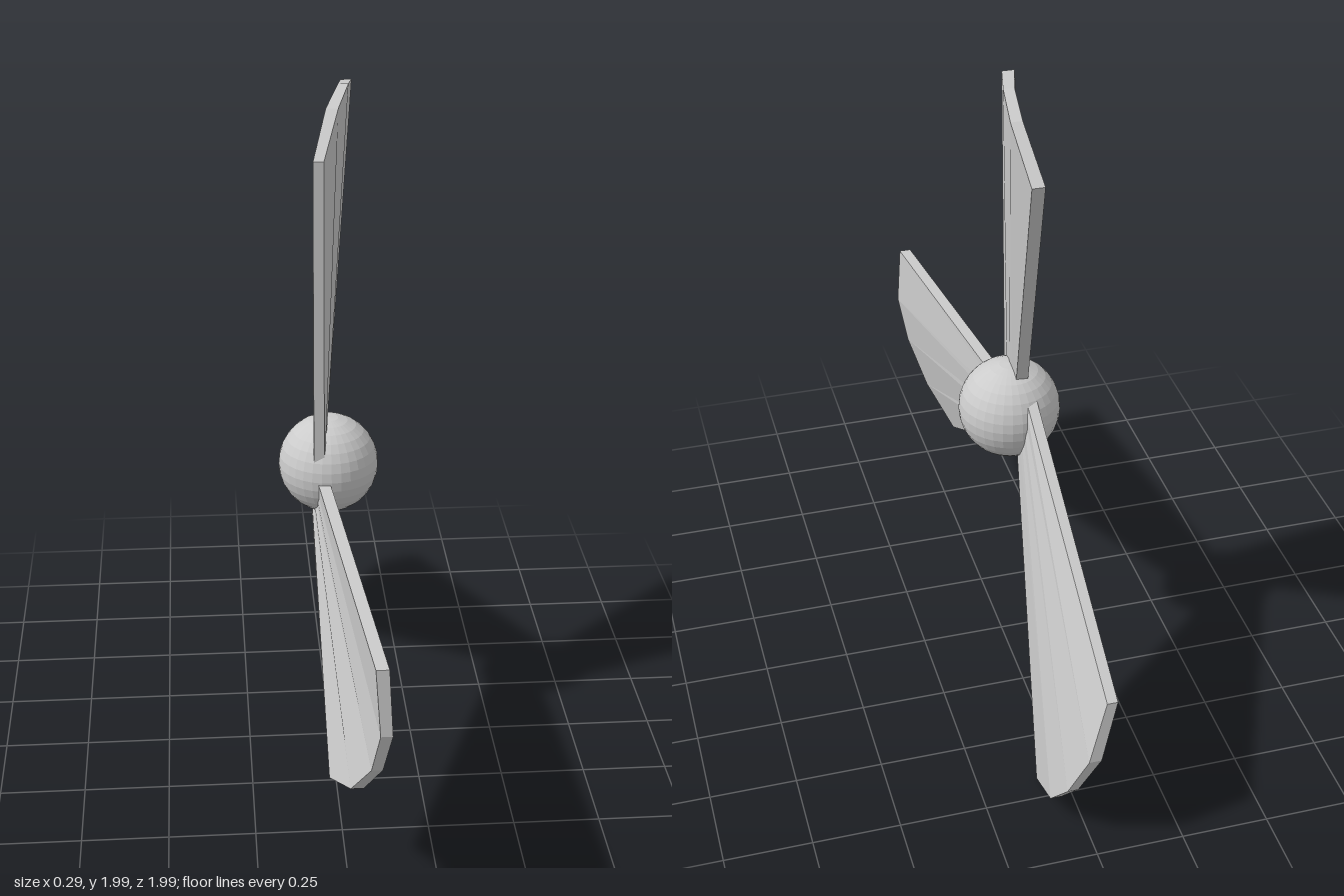
import * as THREE from 'three';

const material = new THREE.MeshStandardMaterial({ color: 0xcccccc, flatShading: true });

// Blade tip stations from one edge to the other: [z, height, x of back face, x of outer face]
const TIP = [
  [0.125, 0.96, -0.05, -0.02],
  [-0.025, 1.065, -0.005, 0.03],
  [-0.185, 1.09, 0.04, 0.07],
  [-0.325, 1.065, 0.058, 0.09],
  [-0.485, 0.96, 0.045, 0.08],
];
const ROOT_WIDTH = 0.125;
const ROOT_X = [-0.05, -0.015];

// A segmented slab fanned out from a narrow root to the curved, twisted tip
function bladeGeometry() {
  const segments = TIP.length - 1;
  const geometry = new THREE.BoxGeometry(1, 1, 1, 1, 1, segments);
  const p = geometry.attributes.position;
  for (let i = 0; i < p.count; i++) {
    const station = Math.round((0.5 - p.getZ(i)) * segments);
    const side = p.getX(i) > 0 ? 1 : 0;
    if (p.getY(i) > 0) {
      const [z, y, back, outer] = TIP[station];
      p.setXYZ(i, side ? outer : back, y, z);
    } else {
      const t = station / segments;
      const rootX = side ? THREE.MathUtils.lerp(-0.02, ROOT_X[1], t) : ROOT_X[0];
      p.setXYZ(i, rootX, 0, ROOT_WIDTH * (1 - t));
    }
  }
  geometry.computeVertexNormals();
  return geometry;
}

export function createModel() {
  const model = new THREE.Group();
  model.name = 'propeller';

  // Rotor turns about the x axis through the hub centre
  const rotor = new THREE.Group();
  rotor.name = 'rotor';
  rotor.position.set(0, 0.91, -0.085);
  model.add(rotor);

  // Round hub
  const hub = new THREE.Mesh(new THREE.SphereGeometry(0.147, 32, 16), material);
  hub.name = 'hub';
  rotor.add(hub);

  // Three equal blades
  const geometry = bladeGeometry();
  for (let i = 0; i < 3; i++) {
    const blade = new THREE.Mesh(geometry, material);
    blade.name = `blade${i + 1}`;
    blade.rotation.x = (-i * 2 * Math.PI) / 3;
    rotor.add(blade);
  }
  return model;
}
